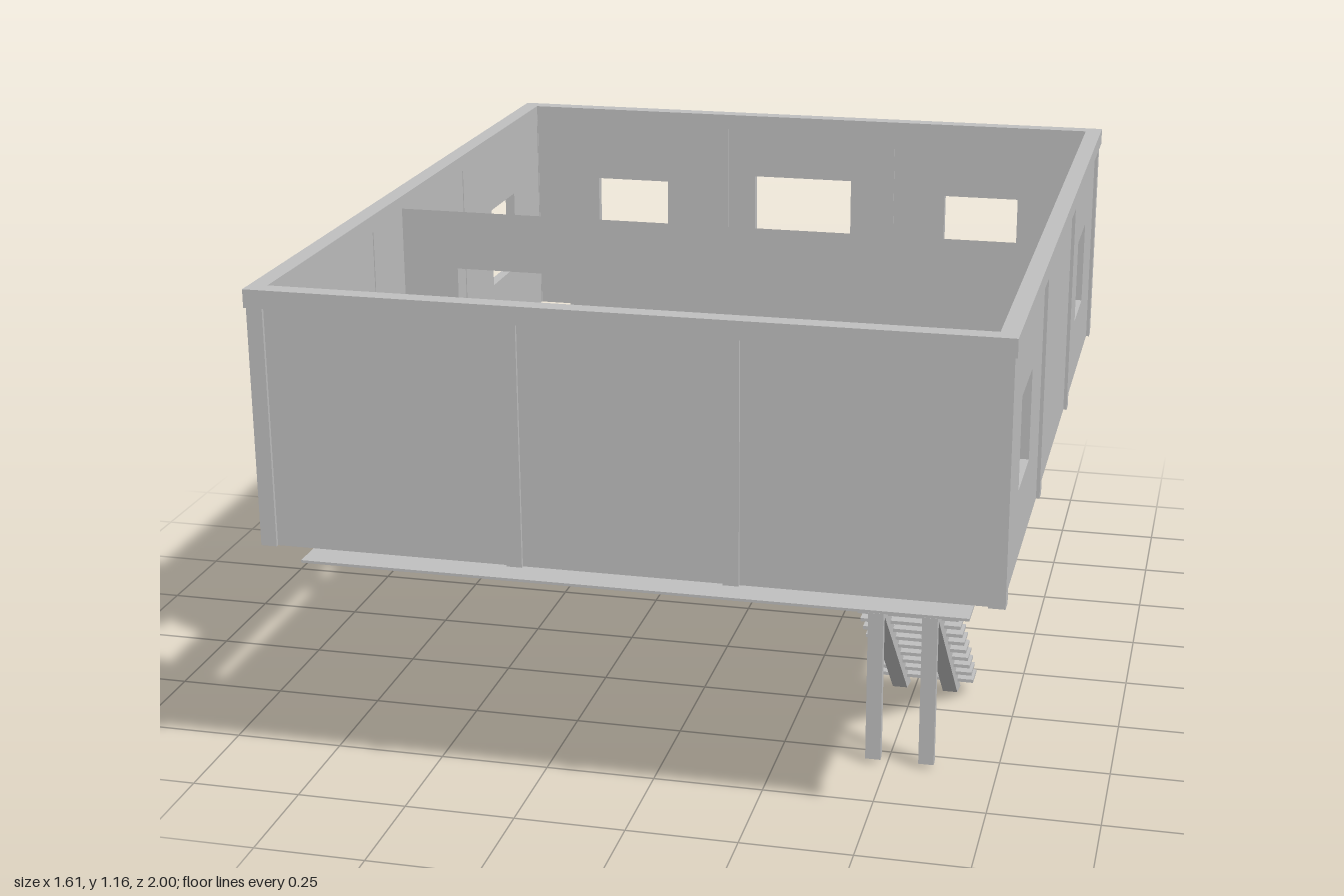
import * as THREE from 'three';

export function createModel() {
  const model = new THREE.Group();
  const grey = new THREE.MeshStandardMaterial({ color: 0xc0c0c0 });
  grey.name = 'concreteGrey';
  const greySheet = new THREE.MeshStandardMaterial({ color: 0xc0c0c0, side: THREE.DoubleSide });
  greySheet.name = 'concreteGrey';

  const add = (name, geo, parent = model, mat = grey) => {
    const mesh = new THREE.Mesh(geo, mat);
    mesh.name = name;
    parent.add(mesh);
    return mesh;
  };
  // Box given by its minimum and maximum along each axis
  const box = (name, x0, x1, y0, y1, z0, z1, parent = model) => {
    const mesh = add(name, new THREE.BoxGeometry(x1 - x0, y1 - y0, z1 - z0), parent);
    mesh.position.set((x0 + x1) / 2, (y0 + y1) / 2, (z0 + z1) / 2);
    return mesh;
  };
  const rect = (T, x0, x1, y0, y1) => new T([[x0, y0], [x1, y0], [x1, y1], [x0, y1]]
    .map(([x, y]) => new THREE.Vector2(x, y)));
  const sheet = (x0, x1, y0, y1, holes = []) => {
    const shape = rect(THREE.Shape, x0, x1, y0, y1);
    holes.forEach(h => shape.holes.push(rect(THREE.Path, ...h)));
    return shape;
  };

  const BASE = 0.59, EAVES = 1.12, TOP = 1.16;
  const windowAt = c => [c - 0.1, c + 0.1, 0.755, 0.962];
  const wall = (name, half, holes) => add(name, new THREE.ExtrudeGeometry(
    sheet(-half, half, BASE, EAVES, holes), { depth: 0.025, bevelEnabled: false }));

  // Outer wall panels
  wall('frontWall', 0.78, []).position.z = 0.965;
  wall('backWall', 0.78, [windowAt(-0.49), windowAt(0.49), [-0.14, 0.13, 0.615, 0.99]]).position.z = -0.99;
  for (const s of [1, -1]) {
    const side = wall(s > 0 ? 'leftWall' : 'rightWall', 0.97, [windowAt(-0.65), windowAt(0.635)]);
    side.rotation.y = Math.PI / 2;
    side.position.x = s > 0 ? 0.767 : -0.792;
  }

  // Columns and ring beam
  const span = (s, a, b) => (s > 0 ? [a, b] : [-b, -a]);
  for (const sx of [1, -1]) {
    const [x0, x1] = span(sx, 0.765, 0.8);
    for (const sz of [1, -1]) {
      const [z0, z1] = span(sz, 0.962, 0.998);
      box('cornerColumn', x0, x1, BASE, EAVES, z0, z1);
      box('sideColumn', x0, x1, BASE, EAVES, ...span(sz, 0.307, 0.342));
      box('endColumn', ...span(sx, 0.216, 0.25), BASE, EAVES, z0, z1);
    }
    box('sideBeam', ...span(sx, 0.765, 0.805), EAVES, TOP, -0.96, 0.96);
    box('endBeam', -0.805, 0.805, EAVES, TOP, ...span(sx, 0.96, 1));
  }

  // Partition: two open faces with a lined doorway
  const partition = new THREE.Group();
  partition.name = 'partition';
  model.add(partition);
  const [d0, d1, dTop] = [-0.63, -0.35, 0.99];
  add('partitionFront', new THREE.ShapeGeometry(
    sheet(-0.765, 0.765, BASE, 1.13, [[d0, d1, 0.61, dTop]])), partition).position.z = 0.148;
  const rear = add('partitionBack', new THREE.ShapeGeometry(
    sheet(-0.765, 0.765, BASE, 1.13, [[-d1, -d0, 0.61, dTop]])), partition);
  rear.rotation.y = Math.PI;
  rear.position.z = 0.112;
  box('doorJamb', d0 - 0.002, d0, 0.61, dTop, 0.112, 0.148, partition);
  box('doorJamb', d1, d1 + 0.002, 0.61, dTop, 0.112, 0.148, partition);
  box('doorHead', d0, d1, dTop, dTop + 0.002, 0.112, 0.148, partition);

  // Floor sheet above, and lower sheet with a hatch hole
  const [hx0, hx1, hz0, hz1] = [0.42, 0.65, 0.23, 0.745];
  const floor = add('floor', new THREE.ShapeGeometry(sheet(-0.74, 0.72, -0.93, 0.92)), model, greySheet);
  floor.rotation.x = -Math.PI / 2;
  floor.position.y = 0.592;
  const under = add('underfloor', new THREE.ExtrudeGeometry(
    sheet(-0.74, 0.72, -0.93, 0.92, [[hx0, hx1, -hz1, -hz0]]), { depth: 0.006, bevelEnabled: false }));
  under.rotation.x = -Math.PI / 2;
  under.position.y = 0.528;
  for (const z of [-0.325, 0.335]) box('floorSeam', -0.74, 0.73, 0.524, 0.534, z - 0.02, z + 0.02);

  // Hatch shaft and its lower trim
  const hatch = new THREE.Group();
  hatch.name = 'hatch';
  model.add(hatch);
  const ring = (name, x0, x1, z0, z1, w, y, h) => {
    const geo = new THREE.ExtrudeGeometry(
      sheet(x0, x1, -z1, -z0, [[x0 + w, x1 - w, -z1 + w, -z0 - w]]), { depth: h, bevelEnabled: false });
    const mesh = add(name, geo, hatch);
    mesh.rotation.x = -Math.PI / 2;
    mesh.position.y = y;
  };
  ring('hatchShaft', hx0 - 0.01, hx1 + 0.005, hz0, hz1, 0.01, 0.534, 0.056);
  ring('hatchTrim', 0.4, 0.67, 0.21, 0.755, 0.02, 0.516, 0.018);

  // Stairs: sloping stringers, treads and support posts
  const stairs = new THREE.Group();
  stairs.name = 'stairs';
  model.add(stairs);
  const profile = new THREE.Shape([[0.105, 0], [0.165, 0.01], [0.77, 0.56], [0.738, 0.588]]
    .map(([z, y]) => new THREE.Vector2(-z, y)));
  for (const x of [0.45, 0.572]) {
    const stringer = add('stringer', new THREE.ExtrudeGeometry(profile, { depth: 0.035, bevelEnabled: false }), stairs);
    stringer.rotation.y = Math.PI / 2;
    stringer.position.x = x;
    box('post', x, x + 0.035, 0.01, 0.37, 0.545, 0.565, stairs);
  }
  for (let i = 0; i < 13; i++) {
    const y = 0.045 + i * 0.0371, z = 0.14 + i * 0.0408;
    box('tread', 0.415, 0.645, y - 0.004, y + 0.004, z - 0.031, z + 0.031, stairs);
  }
  return model;
}
